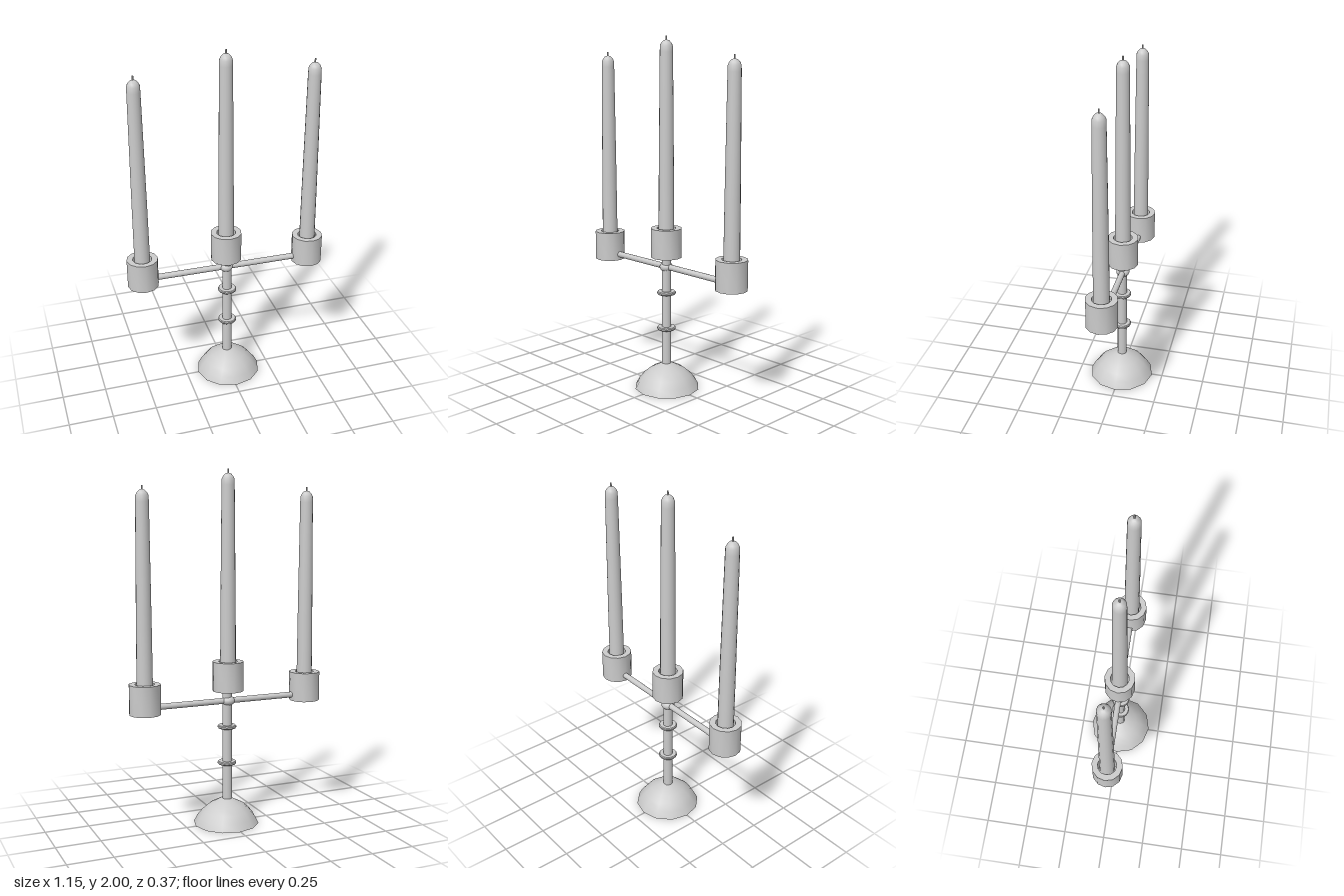
import * as THREE from 'three';
import { toCreasedNormals } from 'three/addons/utils/BufferGeometryUtils.js';

const material = new THREE.MeshStandardMaterial({ color: 0xcccccc });

// Turned part: profile of [radius, y] pairs running from the bottom up the outside
function turned(name, profile, sides, x = 0, y = 0, z = 0) {
  const points = profile.map(([r, h]) => new THREE.Vector2(r, h));
  const geometry = toCreasedNormals(new THREE.LatheGeometry(points, sides), 0.62);
  const mesh = new THREE.Mesh(geometry, material);
  mesh.name = name;
  mesh.position.set(x, y, z);
  return mesh;
}

// Hollow cup with a tapered candle and wick standing in it
function candleHolder(name, x, cupY) {
  const holder = new THREE.Group();
  holder.name = name;
  holder.position.set(x, cupY, -0.005);
  holder.add(
    turned('cup', [[0, 0], [0.088, 0], [0.088, 0.167], [0.054, 0.167], [0.054, 0.03], [0, 0.03]], 12),
    turned('candle', [
      [0, 0.03], [0.045, 0.03], [0.042, 0.5], [0.036, 1.14],
      [0.035, 1.172], [0.028, 1.187], [0.016, 1.2], [0, 1.205],
    ], 16),
    turned('wick', [[0, 1.19], [0.005, 1.19], [0.004, 1.225], [0, 1.225]], 8),
  );
  return holder;
}

export function createModel() {
  const model = new THREE.Group();
  model.name = 'candelabra';

  // Domed foot with a flat underside
  model.add(turned('foot', [
    [0, 0], [0.187, 0], [0.166, 0.04], [0.137, 0.076], [0.1, 0.108], [0.03, 0.144], [0, 0.144],
  ], 12, 0.007, 0, -0.001));

  // Stem with two collars
  model.add(turned('stem', [[0, 0.13], [0.028, 0.13], [0.027, 0.775], [0, 0.775]], 12, 0.001, 0, -0.002));
  for (const y of [0.355, 0.565]) {
    model.add(turned('collar', [
      [0.02, -0.009], [0.049, -0.009], [0.053, -0.004], [0.053, 0.004], [0.049, 0.009], [0.02, 0.009],
    ], 16, 0.002, y, -0.001));
  }

  // Rounded hub where the arms meet
  const hub = new THREE.Mesh(new THREE.SphereGeometry(0.038, 16, 10), material);
  hub.name = 'hub';
  hub.scale.y = 0.75;
  hub.position.set(-0.003, 0.714, -0.005);
  model.add(hub);

  // Arms and outer holders
  for (const side of [-1, 1]) {
    const arm = new THREE.Mesh(new THREE.CylinderGeometry(0.017, 0.017, 0.42, 12), material);
    arm.name = side > 0 ? 'leftArm' : 'rightArm';
    arm.rotation.z = Math.PI / 2;
    arm.position.set(side * 0.21, 0.715, -0.006);
    model.add(arm, candleHolder(side > 0 ? 'leftHolder' : 'rightHolder', side * 0.489, 0.68));
  }
  model.add(candleHolder('centreHolder', -0.003, 0.772));

  return model;
}
